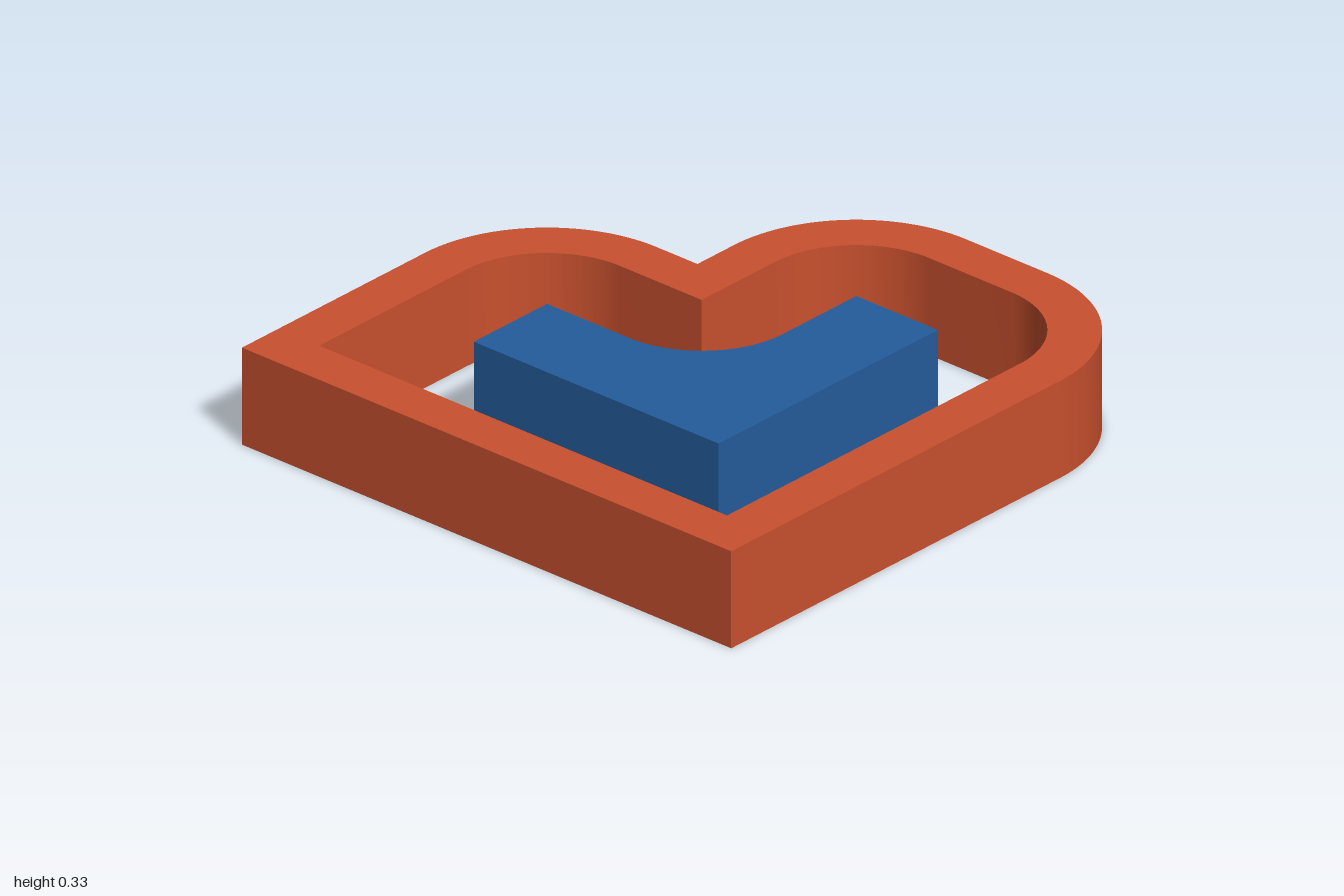
import * as THREE from 'three';
import { toCreasedNormals } from 'three/addons/utils/BufferGeometryUtils.js';

const HEIGHT = 1 / 3;
const WALL = 1 / 6;
const T = 1 / 3;
const S = 1 / 6;

// Outline of the rounded-L wall, pulled inwards by d (shape y points to the back).
function wallOutline(path, d) {
  const e = 1 - d, r = 0.5 - d, n = -T + d;
  path.moveTo(-e, -e);
  path.lineTo(e, -e);
  path.lineTo(e, 0.5);
  path.absarc(0.5, 0.5, r, 0, Math.PI / 2, false);
  path.lineTo(S, e);
  path.absarc(S, 0.5, r, Math.PI / 2, Math.PI, false);
  path.lineTo(n, -n); // inner corner of the notch
  path.lineTo(-0.5, -n);
  path.absarc(-0.5, -S, r, Math.PI / 2, Math.PI, false);
  path.closePath();
  return path;
}

// Upright slab standing on y = 0
function slab(name, shape, color) {
  const geometry = new THREE.ExtrudeGeometry(shape, {
    depth: HEIGHT, bevelEnabled: false, curveSegments: 32,
  });
  geometry.rotateX(-Math.PI / 2);
  const mesh = new THREE.Mesh(
    toCreasedNormals(geometry, Math.PI / 6),
    new THREE.MeshStandardMaterial({ color })
  );
  mesh.name = name;
  return mesh;
}

export function createModel() {
  const group = new THREE.Group();
  group.name = 'roundedCornerPair';

  // Outer ring wall
  const ring = wallOutline(new THREE.Shape(), 0);
  ring.holes.push(wallOutline(new THREE.Path(), WALL));
  group.add(slab('outerWall', ring, 0xc8502e));

  // Inner L block with a concave fillet in its elbow
  const core = new THREE.Shape();
  core.moveTo(-0.5, -0.5);
  core.lineTo(0.5, -0.5);
  core.lineTo(0.5, 0.5);
  core.lineTo(S, 0.5);
  core.lineTo(S, S);
  core.absarc(-S, S, T, 0, -Math.PI / 2, true);
  core.lineTo(-0.5, -S);
  core.closePath();
  group.add(slab('innerBlock', core, 0x245c9c));

  return group;
}
